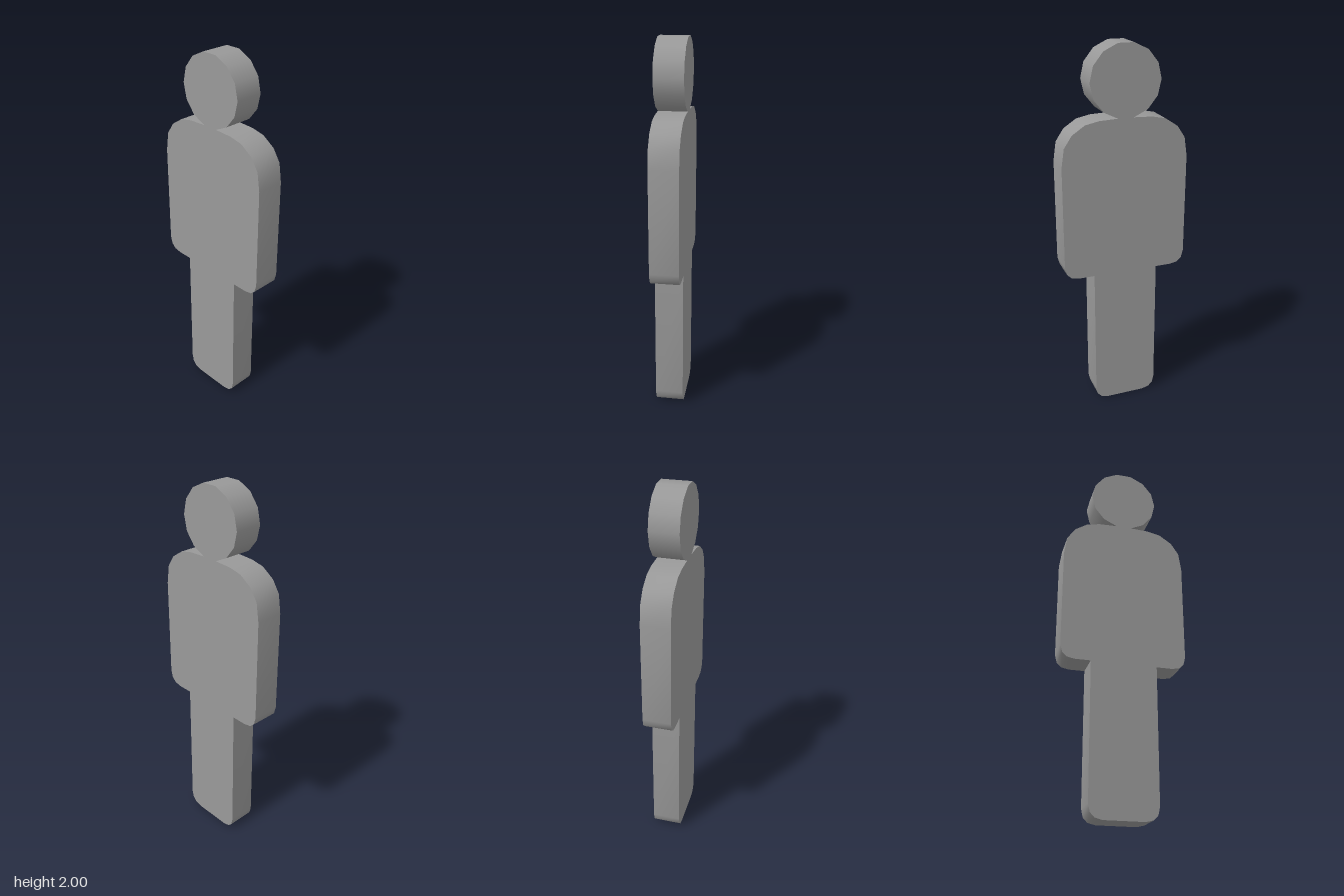
import * as THREE from 'three';
import { toCreasedNormals } from 'three/addons/utils/BufferGeometryUtils.js';

const DEPTH = 0.152;

export function createModel() {
  const group = new THREE.Group();
  group.name = 'figure';
  const material = new THREE.MeshStandardMaterial({ color: 0x999999 });

  function add(name, geometry) {
    const mesh = new THREE.Mesh(geometry, material);
    mesh.name = name;
    group.add(mesh);
    return mesh;
  }

  // Extrude a right-hand outline (bottom to top), mirrored across x = 0
  function slab(half) {
    const left = half.map(([x, y]) => [-x, y]).reverse();
    const shape = new THREE.Shape([...half, ...left].map(([x, y]) => new THREE.Vector2(x, y)));
    const geometry = new THREE.ExtrudeGeometry(shape, { depth: DEPTH, bevelEnabled: false });
    geometry.translate(0, 0, -DEPTH / 2);
    return toCreasedNormals(geometry, 0.8);
  }

  // Joined legs, torso and rounded shoulders in one silhouette
  add('body', slab([
    [0.105, 0], [0.145, 0.01], [0.168, 0.034], [0.177, 0.075],
    [0.177, 0.795],
    [0.262, 0.795], [0.302, 0.803], [0.327, 0.826], [0.338, 0.868],
    [0.338, 1.41], [0.323, 1.51], [0.281, 1.573], [0.213, 1.618], [0.14, 1.633], [0.041, 1.637],
  ]));

  // Fourteen-sided disc head with a flat edge resting on the neck line
  const disc = new THREE.CylinderGeometry(0.186, 0.186, DEPTH, 14);
  disc.rotateY(Math.PI / 2);
  disc.rotateX(Math.PI / 2);
  add('head', disc).position.y = 1.818;

  return group;
}
